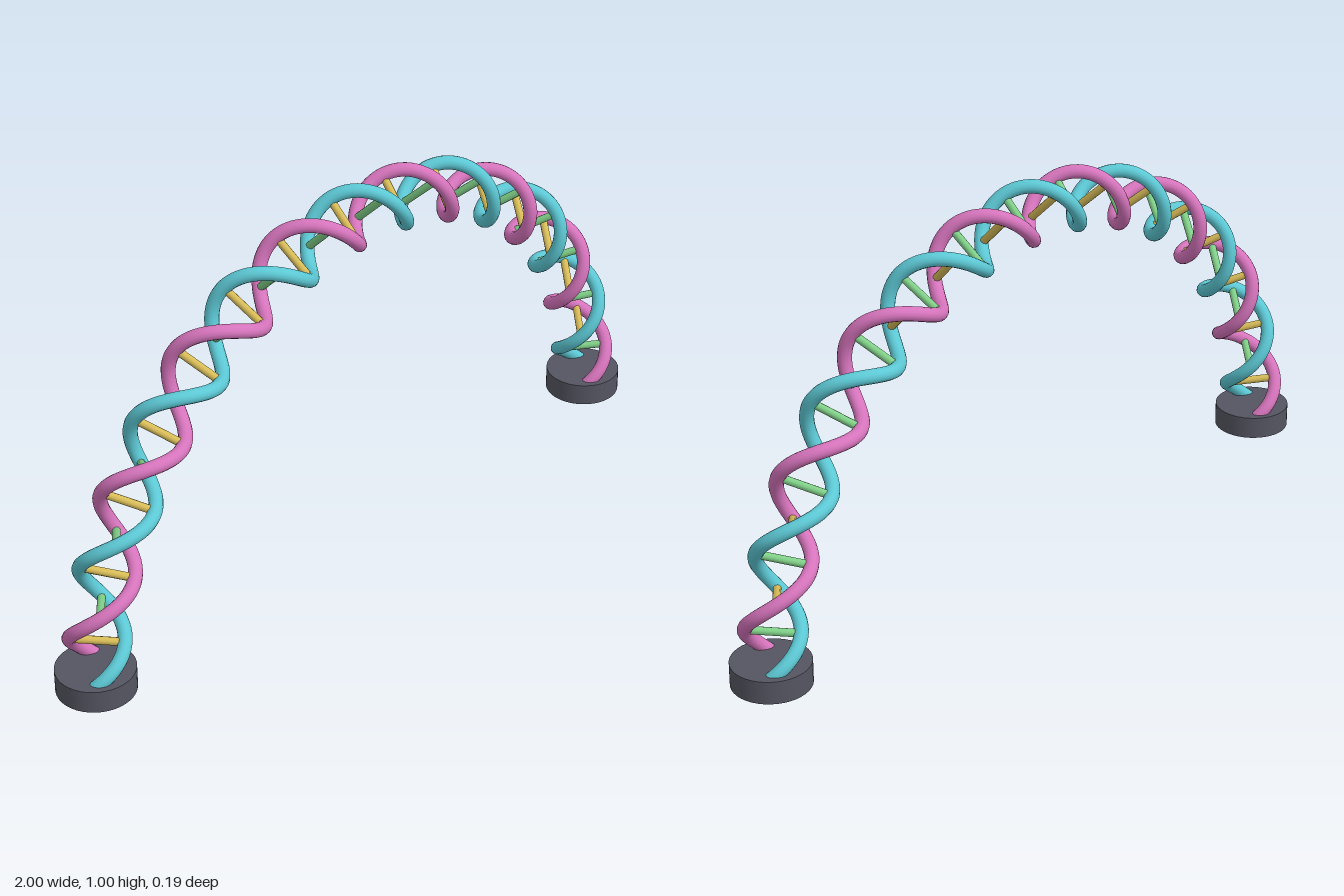
import * as THREE from 'three';

const ARCH_RADIUS = 0.9025, ARCH_BASE = 0.0145;
const HELIX_RADIUS = 0.0655, STRAND_RADIUS = 0.0175;
const TURNS = 8, RUNGS = 32;

function material(name, color) {
  const m = new THREE.MeshStandardMaterial({ color });
  m.name = name;
  return m;
}

// Point on a strand: t runs 0..1 from the -x foot to the +x foot, side is 1 or -1
function helixPoint(t, side, target = new THREE.Vector3()) {
  const a = (t - 0.5) * Math.PI;
  const phase = a * TURNS * 2;
  const r = ARCH_RADIUS + side * HELIX_RADIUS * Math.cos(phase);
  return target.set(r * Math.sin(a), ARCH_BASE + r * Math.cos(a), side * HELIX_RADIUS * Math.sin(phase));
}

class StrandCurve extends THREE.Curve {
  constructor(side) {
    super();
    this.side = side;
  }
  getPoint(t, target) {
    return helixPoint(t, this.side, target);
  }
}

export function createModel() {
  const group = new THREE.Group();
  group.name = 'helixArch';
  const cyan = material('cyan', 0x5cc8d4);
  const pink = material('pink', 0xd674bc);
  const green = material('green', 0x80d088);
  const yellow = material('yellow', 0xd8bc58);
  const slate = material('slate', 0x555562);

  const add = (name, geometry, mat, parent = group) => {
    const mesh = new THREE.Mesh(geometry, mat);
    mesh.name = name;
    parent.add(mesh);
    return mesh;
  };

  // Two intertwined strands with flat end caps
  for (const [name, side, mat] of [['cyanStrand', 1, cyan], ['pinkStrand', -1, pink]]) {
    const curve = new StrandCurve(side);
    add(name, new THREE.TubeGeometry(curve, 400, STRAND_RADIUS, 14, false), mat);
    for (const t of [0, 1]) {
      const cap = add(name + 'Cap', new THREE.CircleGeometry(STRAND_RADIUS, 14), mat);
      const outward = curve.getTangent(t).multiplyScalar(t ? 1 : -1);
      cap.position.copy(curve.getPoint(t));
      cap.quaternion.setFromUnitVectors(new THREE.Vector3(0, 0, 1), outward);
    }
  }

  // Rungs joining the strands, alternating in colour
  const rungs = new THREE.Group();
  rungs.name = 'rungs';
  group.add(rungs);
  const rungGeometry = new THREE.CylinderGeometry(0.01, 0.01, HELIX_RADIUS * 2, 10);
  for (let i = 0; i < RUNGS; i++) {
    const t = (i + 0.5) / RUNGS;
    const p = helixPoint(t, 1), q = helixPoint(t, -1);
    const rung = add('rung', rungGeometry, i % 2 ? yellow : green, rungs);
    rung.position.copy(p).add(q).multiplyScalar(0.5);
    rung.quaternion.setFromUnitVectors(new THREE.Vector3(0, 1, 0), p.sub(q).normalize());
  }

  // Round feet
  for (const s of [-1, 1]) {
    const foot = add(s > 0 ? 'leftFoot' : 'rightFoot', new THREE.CylinderGeometry(0.0975, 0.0975, 0.059, 40), slate);
    foot.position.set(s * ARCH_RADIUS, 0.045, 0);
  }
  return group;
}
